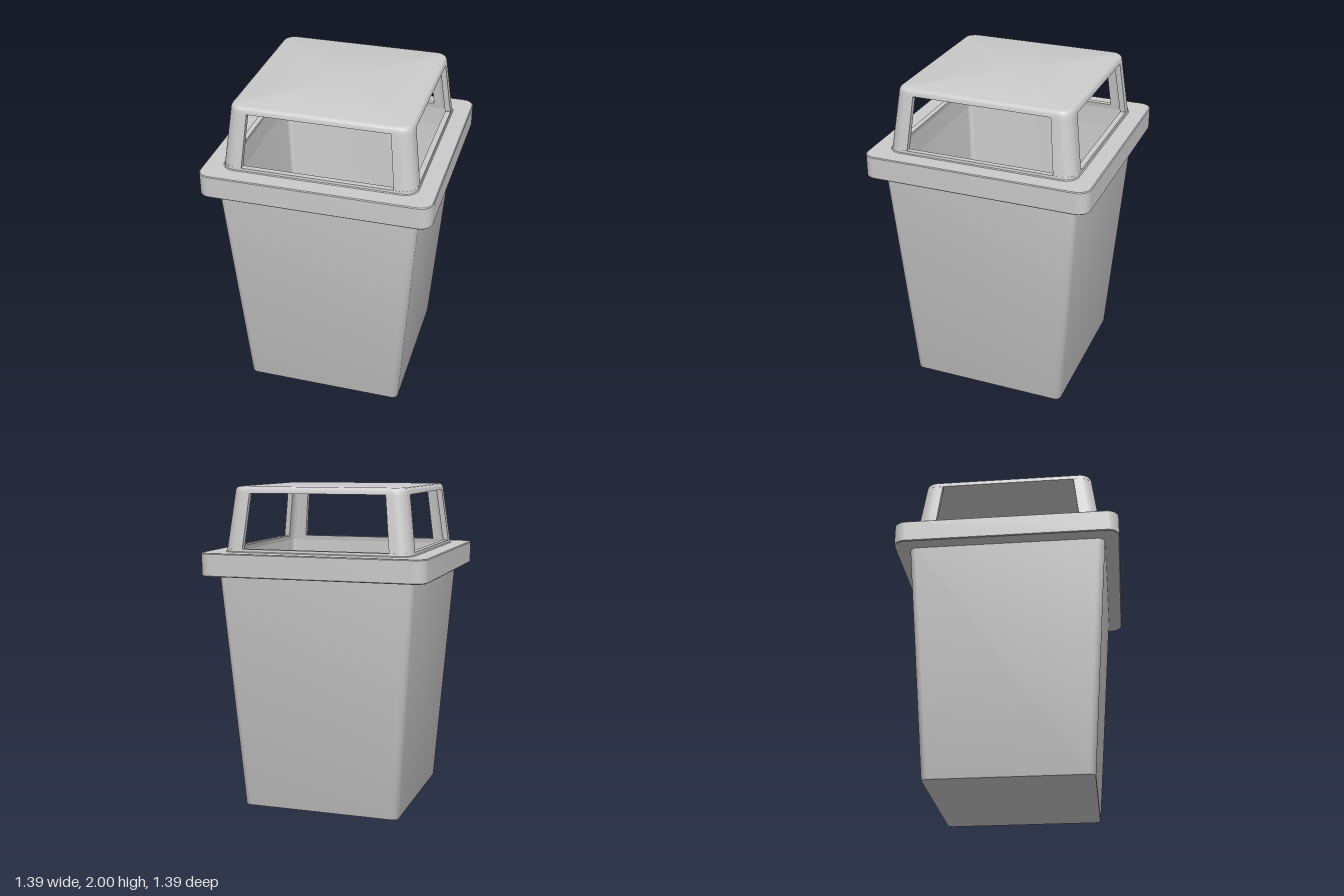
import * as THREE from 'three';
import { toCreasedNormals } from 'three/addons/utils/BufferGeometryUtils.js';

const material = new THREE.MeshStandardMaterial({ color: 0xcccccc });
const ARC = 8; // segments per rounded corner

// Points [x, z] of one rounded corner in the +x +z quadrant
function corner(h, r) {
  return Array.from({ length: ARC + 1 }, (_, i) => {
    const a = (i / ARC) * Math.PI / 2;
    return [h - r + r * Math.cos(a), h - r + r * Math.sin(a)];
  });
}

// Rounded square ring of half width h and corner radius r at height y
function squareRing([h, y, r]) {
  const ring = [];
  for (let q = 0; q < 4; q++) {
    for (const [x, z] of corner(h, r)) {
      const c = [[x, z], [-z, x], [-x, -z], [z, -x]][q];
      ring.push(new THREE.Vector3(c[0], y, c[1]));
    }
  }
  return ring;
}

// Skin a list of equal-length closed rings
function loft(name, rings) {
  const points = [];
  const n = rings[0].length;
  const tri = (a, b, c) => {
    const area = b.clone().sub(a).cross(c.clone().sub(a)).length();
    if (area > 1e-9) points.push(a, b, c);
  };
  for (let i = 0; i < rings.length - 1; i++) {
    for (let k = 0; k < n; k++) {
      const m = (k + 1) % n;
      const [lo, hi] = [rings[i], rings[i + 1]];
      tri(lo[k], hi[k], hi[m]);
      tri(lo[k], hi[m], lo[m]);
    }
  }
  const geometry = new THREE.BufferGeometry().setFromPoints(points);
  const mesh = new THREE.Mesh(toCreasedNormals(geometry, 0.6), material);
  mesh.name = name;
  return mesh;
}

const squareLoft = (name, profile) => loft(name, profile.map(squareRing));

// Cross-section of a corner post: a rounded angle of thickness t
function postRing(h, r, edge, t, y) {
  const inner = corner(h - t, r - t).reverse();
  const loop = [[h, edge], ...corner(h, r), [edge, h], [edge, h - t], ...inner, [h - t, edge]];
  return loop.map(([x, z]) => new THREE.Vector3(x, y, z));
}

export function createModel() {
  const model = new THREE.Group();
  model.name = 'litterBin';

  // Hollow tapered body: floor, outer wall, lip, inner wall, inner floor
  model.add(squareLoft('body', [
    [0, 0, 0], [0.49, 0, 0.03], [0.497, 0.003, 0.034], [0.5, 0.01, 0.035],
    [0.605, 1.47, 0.045], [0.55, 1.47, 0.03], [0.46, 0.04, 0.02], [0, 0.04, 0],
  ]));

  // Overhanging rim
  model.add(squareLoft('rim', [
    [0.55, 1.47, 0.03], [0.69, 1.47, 0.07], [0.695, 1.475, 0.075],
    [0.695, 1.605, 0.075], [0.69, 1.61, 0.07], [0.55, 1.61, 0.03], [0.55, 1.47, 0.03],
  ]));

  const hood = new THREE.Group();
  hood.name = 'hood';
  model.add(hood);

  // Low curb the posts rise from
  hood.add(squareLoft('hoodBase', [
    [0.55, 1.6, 0.05], [0.588, 1.608, 0.085], [0.581, 1.615, 0.08],
    [0.579, 1.63, 0.08], [0.545, 1.63, 0.045], [0.55, 1.6, 0.05],
  ]));

  // Four leaning corner posts
  for (let q = 0; q < 4; q++) {
    const post = loft('cornerPost', [
      postRing(0.579, 0.08, 0.455, 0.035, 1.625),
      postRing(0.536, 0.075, 0.42, 0.035, 1.965),
    ]);
    post.rotation.y = q * Math.PI / 2;
    hood.add(post);
  }

  // Flat roof with softened edges
  hood.add(squareLoft('roof', [
    [0, 1.96, 0], [0.537, 1.96, 0.075], [0.534, 1.98, 0.075], [0.529, 1.99, 0.07],
    [0.52, 1.997, 0.062], [0.508, 2, 0.052], [0, 2, 0],
  ]));

  return model;
}
